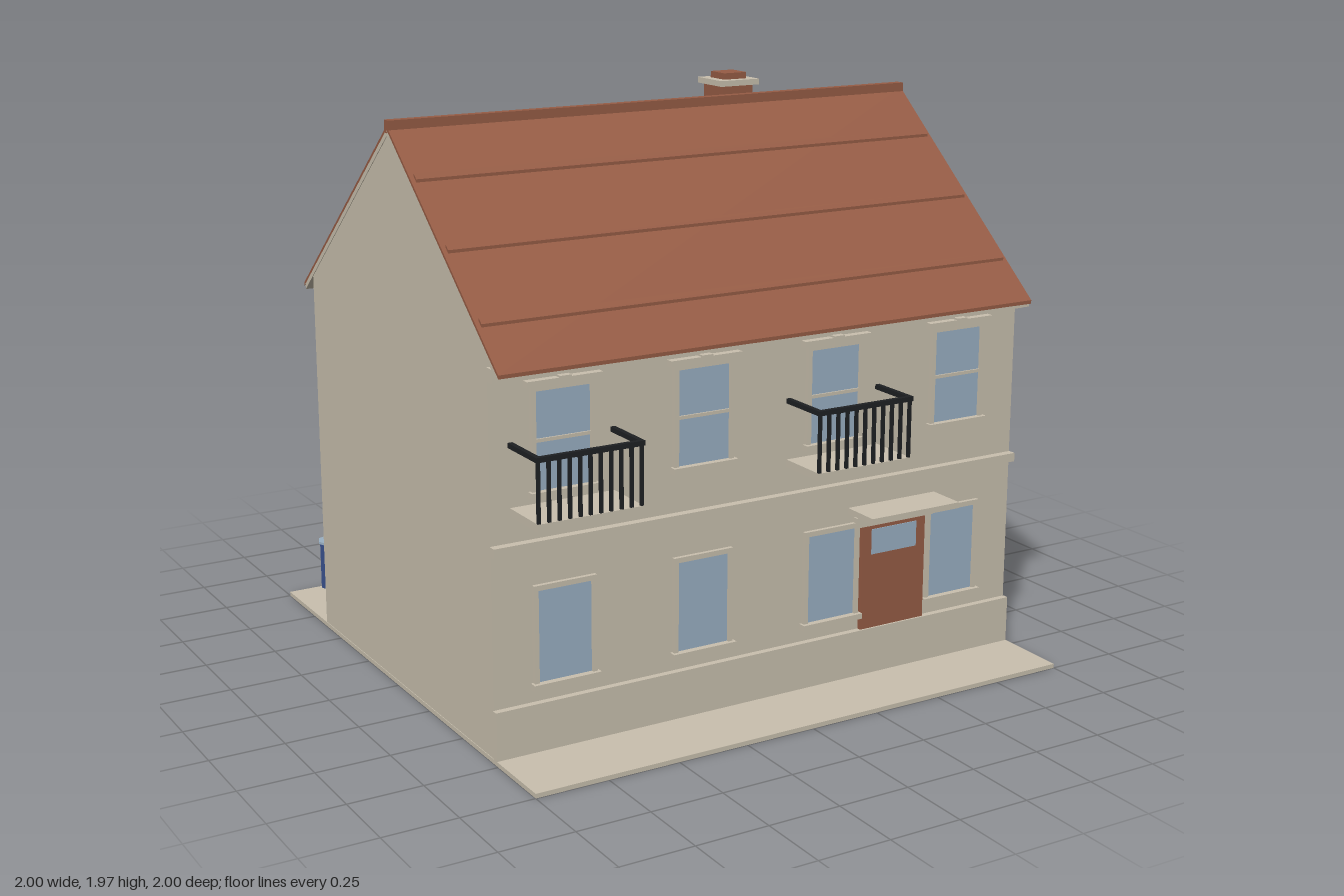
import * as THREE from 'three';

const mat = (name, color, side = THREE.FrontSide) => {
  const m = new THREE.MeshStandardMaterial({ color, side });
  m.name = name;
  return m;
};

export function createModel() {
  const stone = mat('stone', 0xc9c0ae);
  const brick = mat('terracotta', 0x965c45);
  const glass = mat('glass', 0x9ab0c3);
  const iron = mat('iron', 0x1e2023);
  const green = mat('green', 0x3d683c);
  const blue = mat('blue', 0x374e88);
  const black = mat('black', 0x27292c);

  const root = new THREE.Group();
  root.name = 'house';

  const add = (parent, name, geometry, material) => {
    const mesh = new THREE.Mesh(geometry, material);
    mesh.name = name;
    parent.add(mesh);
    return mesh;
  };
  const group = (name, x = 0, y = 0, z = 0) => {
    const g = new THREE.Group();
    g.name = name;
    g.position.set(x, y, z);
    root.add(g);
    return g;
  };
  // Box given by its minimum and maximum on each axis
  const box = (parent, name, material, x0, x1, y0, y1, z0, z1) => {
    const g = new THREE.BoxGeometry(x1 - x0, y1 - y0, z1 - z0);
    g.translate((x0 + x1) / 2, (y0 + y1) / 2, (z0 + z1) / 2);
    return add(parent, name, g, material);
  };
  // Prism along x from a [z, y] outline
  const prism = (parent, name, material, outline, halfLength) => {
    const shape = new THREE.Shape(outline.map(([z, y]) => new THREE.Vector2(-z, y)));
    const g = new THREE.ExtrudeGeometry(shape, { depth: 2 * halfLength, bevelEnabled: false });
    g.translate(0, 0, -halfLength);
    g.rotateY(Math.PI / 2);
    return add(parent, name, g, material);
  };

  // Ground slab and body
  const ridgeZ = 0.04, ridgeY = 1.893, run = 0.76, slope = 0.84;
  const roofY = (z) => ridgeY - Math.abs(z - ridgeZ) * slope;
  const back = -0.64, front = 0.72;
  box(root, 'groundSlab', stone, -1, 1, 0, 0.015, -1, 1);
  prism(root, 'walls', stone, [
    [back, 0.015], [front, 0.015], [front, roofY(front) - 0.02],
    [ridgeZ, ridgeY - 0.02], [back, roofY(back) - 0.02],
  ], 0.998);

  // Front plinth, belt course and cornice
  box(root, 'plinth', stone, -1, 1, 0.015, 0.175, front, 0.742);
  box(root, 'beltCourse', stone, -1, 1, 0.675, 0.705, front, 0.748);
  box(root, 'cornice', stone, -1, 1, 1.22, 1.262, front, 0.755);

  // Roof slopes: tiles over a pale board, with raised tile courses
  for (const s of [1, -1]) {
    const layer = (name, material, a, b, top, bottom, half) => prism(root, name, material, [
      [ridgeZ + s * a, ridgeY - a * slope + top], [ridgeZ + s * b, ridgeY - b * slope + top],
      [ridgeZ + s * b, ridgeY - b * slope + bottom], [ridgeZ + s * a, ridgeY - a * slope + bottom],
    ], half);
    layer('roofTiles', brick, 0, run, 0, -0.012, 1);
    layer('roofBoard', stone, 0, run - 0.01, -0.012, -0.032, 1);
    for (const d of [0.17, 0.39, 0.61]) layer('tileCourse', brick, d - 0.004, d + 0.014, 0.01, -0.002, 0.985);
  }
  box(root, 'ridgeCap', brick, -1, 1, 1.87, 1.911, 0.022, 0.055);

  // Chimney
  const chimney = group('chimney', 0.382, 0, -0.14);
  box(chimney, 'chimneyShaft', brick, -0.062, 0.062, 1.6, 1.925, -0.062, 0.062);
  box(chimney, 'chimneyCap', stone, -0.078, 0.078, 1.925, 1.945, -0.078, 0.078);
  box(chimney, 'chimneyPot', brick, -0.045, 0.045, 1.945, 1.967, -0.045, 0.045);

  // Window: glass, surround with a hole, sill; upper front ones get extra trim
  const rect = (path, w, y0, y1) =>
    path.moveTo(-w, y0).lineTo(w, y0).lineTo(w, y1).lineTo(-w, y1).closePath();
  const makeWindow = (x, y0, y1, half, z, upper) => {
    const g = group('window', x, 0, z);
    if (z < 0) g.rotation.y = Math.PI;
    const shape = rect(new THREE.Shape(), half + 0.016, y0 - 0.005, y1 + 0.017);
    shape.holes.push(rect(new THREE.Path(), half, y0, y1));
    add(g, 'windowFrame', new THREE.ExtrudeGeometry(shape, { depth: 0.014, bevelEnabled: false }), stone);
    box(g, 'windowPane', glass, -half, half, y0, y1, 0, 0.005);
    box(g, 'windowSill', stone, -half - 0.024, half + 0.024, y0 - 0.019, y0, 0, 0.027);
    if (upper) {
      box(g, 'meetingRail', stone, -half, half, 1.01, 1.021, 0.003, 0.011);
      box(g, 'windowHead', stone, -0.13, 0.13, 1.187, 1.206, 0, 0.026);
      box(g, 'keystone', stone, -0.02, 0.02, 1.175, 1.212, 0, 0.03);
    }
  };
  for (const x of [-0.75, -0.25, 0.25, 0.75]) {
    makeWindow(x, 0.238, 0.54, 0.094, front, false);
    makeWindow(x, 0.857, 1.17, 0.094, front, true);
  }
  for (const x of [-0.67, 0, 0.67]) makeWindow(x, 0.857, 1.115, 0.08, back, false);

  // Front door with light, lintel and canopy
  const door = group('frontDoor', 0.5, 0, front);
  box(door, 'doorPanel', brick, -0.13, 0.13, 0.175, 0.54, 0, 0.015);
  box(door, 'doorLight', glass, -0.092, 0.092, 0.437, 0.525, 0.013, 0.018);
  box(door, 'doorLintel', stone, -0.158, 0.158, 0.54, 0.575, 0, 0.022);
  box(door, 'doorCanopy', stone, -0.18, 0.176, 0.59, 0.61, 0, 0.138);

  // Back door
  box(root, 'backDoor', brick, -0.125, 0.125, 0.015, 0.475, back - 0.008, back);

  // Balconies
  for (const x of [-0.75, 0.25]) {
    const b = group('balcony', x, 0, front);
    box(b, 'balconySlab', stone, -0.18, 0.18, 0.792, 0.816, 0, 0.184);
    box(b, 'frontRail', iron, -0.184, 0.184, 1.005, 1.021, 0.17, 0.186);
    for (const s of [-1, 1]) box(b, 'sideRail', iron, s * 0.176 - 0.008, s * 0.176 + 0.008, 1.005, 1.021, 0, 0.17);
    for (let i = 0; i < 11; i++) {
      const bx = -0.175 + i * 0.035;
      box(b, 'baluster', iron, bx - 0.005, bx + 0.005, 0.816, 1.005, 0.173, 0.183);
    }
  }

  // Row of eight-sided bins behind the house
  const bins = [
    [0.857, green], [0.738, blue], [0.337, green], [0.059, black], [-0.063, black],
    [-0.46, blue], [-0.62, blue], [-0.738, black], [-0.857, blue],
  ];
  for (const [x, material] of bins) {
    const bin = group('bin', x, 0, -0.918);
    const body = new THREE.CylinderGeometry(0.048, 0.048, 0.175, 8).toNonIndexed();
    body.computeVertexNormals();
    add(bin, 'binBody', body, material).position.y = 0.1275;
    const lid = new THREE.CylinderGeometry(0.053, 0.053, 0.009, 8).toNonIndexed();
    lid.computeVertexNormals();
    add(bin, 'binLid', lid, glass).position.y = 0.2175;
  }

  return root;
}
